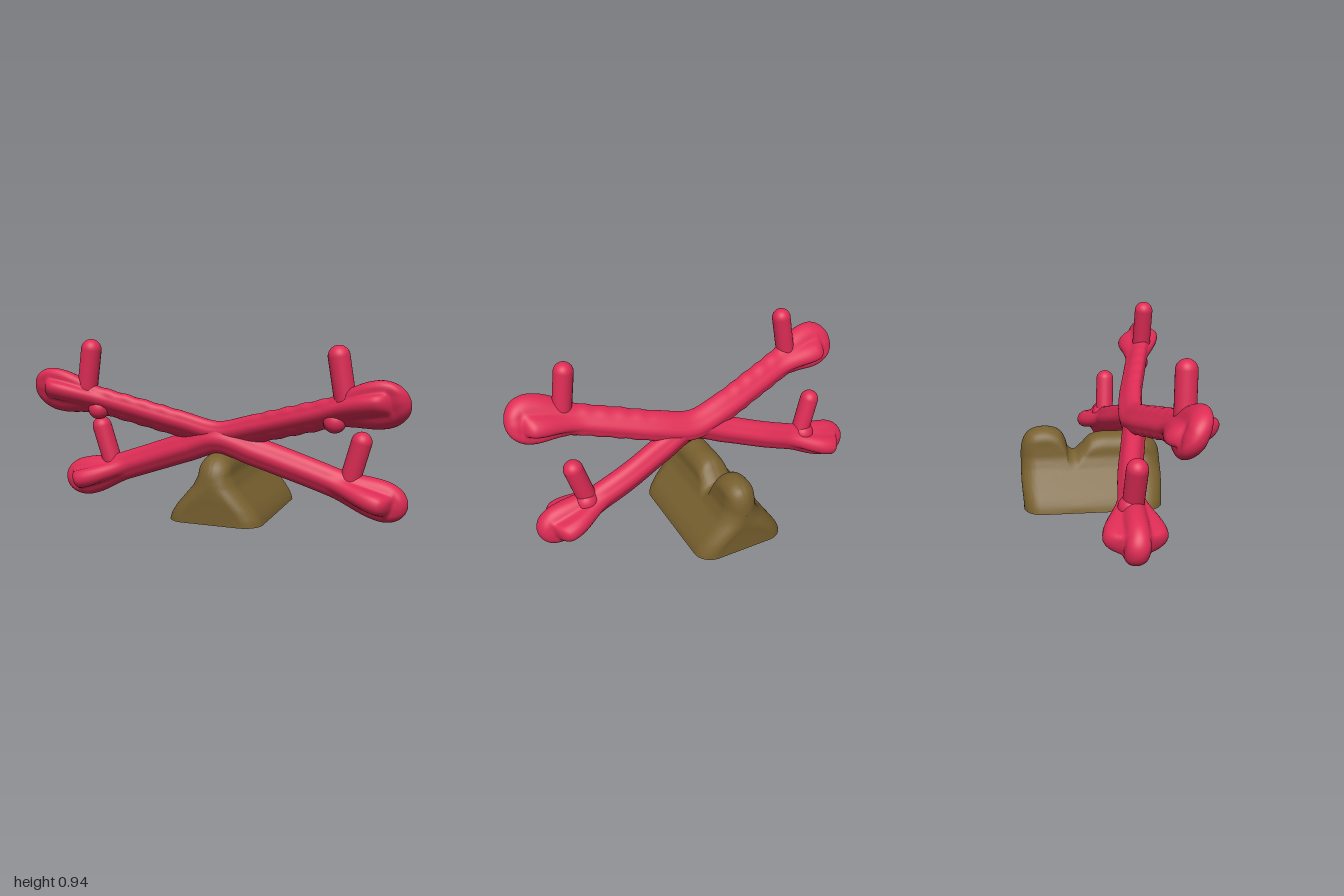
import * as THREE from 'three';
import { toCreasedNormals } from 'three/addons/utils/BufferGeometryUtils.js';

const V = (x, y, z) => new THREE.Vector3(x, y, z);
const smooth = THREE.MathUtils.smoothstep;
const dome = (d) => Math.sqrt(Math.max(0, 1 - d * d));

// Closed skin over a row of rings, capped at both ends, always facing outward.
function loft(rings) {
  const n = rings[0].length;
  const points = rings.flat();
  const index = [];
  rings.slice(1).forEach((_, i) => {
    for (let j = 0; j < n; j++) {
      const a = i * n + j, b = i * n + ((j + 1) % n);
      index.push(a, b, a + n, b, b + n, a + n);
    }
  });
  [0, rings.length - 1].forEach((r) => {
    const centre = rings[r].reduce((s, p) => s.add(p), V(0, 0, 0)).divideScalar(n);
    const c = points.push(centre) - 1;
    for (let j = 0; j < n; j++) {
      const a = r * n + j, b = r * n + ((j + 1) % n);
      if (r === 0) index.push(c, b, a);
      else index.push(c, a, b);
    }
  });
  let volume = 0;
  for (let i = 0; i < index.length; i += 3) {
    const [a, b, c] = [0, 1, 2].map((k) => points[index[i + k]]);
    volume += a.dot(b.clone().cross(c));
  }
  if (volume < 0) index.reverse();
  const geometry = new THREE.BufferGeometry().setFromPoints(points);
  geometry.setIndex(index);
  geometry.computeVertexNormals();
  return geometry;
}

// Distance from the centre to the edge of a capsule, along (cos, sin) = (across, along).
function capsuleReach(across, along, radius, half) {
  const c = Math.abs(across), s = Math.abs(along), L = Math.max(0, half - radius);
  if (s * radius <= L * c) return radius / c;
  return L * s + Math.sqrt(Math.max(0, radius * radius - L * L * c * c));
}

// Beam with a four-lobed section that swells into a knuckle at each end.
function beamGeometry({ path, up, out, height, width, ripple }) {
  const half = path.map((p) => V(...p));
  const mirrored = half.slice(1).reverse().map((p) => V(-p.x, p.y, p.z));
  const curve = new THREE.CatmullRomCurve3([...mirrored, ...half]);
  const rings = [];
  const steps = 80, sides = 56;
  for (let i = -steps; i <= steps; i++) {
    // u runs from 0 at the pivot to 1 at either tip
    const u = 1 - Math.pow(1 - Math.abs(i) / steps, 1.7);
    const at = 0.5 + (Math.sign(i) * u) / 2;
    const p = curve.getPointAt(at), t = curve.getTangentAt(at);
    const top = up.clone().addScaledVector(t, -up.dot(t)).normalize();
    const side = out.clone().addScaledVector(t, -out.dot(t)).normalize();
    const tip = Math.max(0.02, dome(Math.max(0, (u - 0.87) / 0.13)));
    const wave = ripple * Math.sin(u * 65) * smooth(u, 0.15, 0.3) * (1 - smooth(u, 0.6, 0.75));
    const h = (0.078 + wave + (height - 0.078) * smooth(u, 0.62, 0.86)) * tip;
    const a = (0.045 + 0.009 * smooth(u, 0.6, 0.85)) * Math.max(0.02, dome(Math.max(0, (u - 0.94) / 0.06)));
    const lobe = dome(Math.max(0, (u - 0.855) / 0.075));
    const w = Math.max(a, (0.062 + (width - 0.062) * smooth(u, 0.58, 0.85)) * lobe);
    const b = Math.min(h, w, 0.038 + 0.014 * smooth(u, 0.6, 0.85));
    const ring = [];
    for (let j = 0; j < sides; j++) {
      const angle = (j / sides) * Math.PI * 2;
      const c = Math.cos(angle), s = Math.sin(angle);
      const r = Math.pow(capsuleReach(c, s, a, h) ** 6 + capsuleReach(s, c, b, w) ** 6, 1 / 6);
      ring.push(p.clone().addScaledVector(side, c * r).addScaledVector(top, s * r));
    }
    rings.push(ring);
  }
  return loft(rings);
}

// Flared plinth with a front saddle, a dip and a rear knob.
function baseGeometry() {
  const ridge = new THREE.CatmullRomCurve3([
    [0.32, 0.21], [0.31, 0.265], [0.285, 0.31], [0.24, 0.345], [0.17, 0.36], [0.08, 0.36],
    [0, 0.36], [-0.06, 0.345], [-0.11, 0.295], [-0.15, 0.262], [-0.182, 0.28], [-0.196, 0.325],
    [-0.225, 0.375], [-0.275, 0.398], [-0.35, 0.398], [-0.4, 0.375], [-0.43, 0.325], [-0.44, 0.26],
  ].map(([z, y]) => V(0, y, z)));
  const flare = [[0, 0.255], [0.03, 0.247], [0.08, 0.215], [0.13, 0.172], [0.19, 0.12],
    [0.25, 0.09], [0.32, 0.08], [0.42, 0.078]];
  const halfWidth = (y) => {
    const k = Math.max(1, flare.findIndex((f) => f[0] >= y));
    const [y0, w0] = flare[k - 1], [y1, w1] = flare[k];
    return w0 + ((w1 - w0) * (y - y0)) / (y1 - y0);
  };
  const rings = [];
  const rows = 28;
  for (let i = 0; i <= 110; i++) {
    const { y: height, z } = ridge.getPoint(i / 110);
    const round = 1 - dome(Math.max(0, z - 0.22, -0.34 - z) / 0.1);
    const right = [];
    for (let j = 0; j <= rows; j++) {
      const y = height * Math.sin((j / rows) * Math.PI / 2);
      const cap = dome(Math.max(0, (y - height + 0.07) / 0.07));
      // The foot tucks in slightly at both ends.
      const tuck = 1 - 0.025 * (1 - smooth(y, 0, 0.15));
      const w = halfWidth(y);
      right.push(V(Math.max(0.002, (w - Math.min(0.1, w) * round) * cap), y, z * tuck));
    }
    const left = right.map((p) => V(-p.x, p.y, p.z)).reverse();
    rings.push([...right, ...left]);
  }
  return toCreasedNormals(loft(rings), 0.9);
}

export function createModel() {
  const model = new THREE.Group();
  const red = new THREE.MeshStandardMaterial({ color: 0xde2c55 });
  red.name = 'raspberry red';
  const brown = new THREE.MeshStandardMaterial({ color: 0x78602f });
  brown.name = 'olive brown';

  const add = (name, geometry, material, parent = model) => {
    const mesh = new THREE.Mesh(geometry, material);
    mesh.name = name;
    parent.add(mesh);
    return mesh;
  };

  // Upright grip with a rounded top, leaning between two points.
  const addHandle = (name, from, to, radius, parent) => {
    const axis = to.clone().sub(from);
    const handle = add(name, new THREE.CapsuleGeometry(radius, axis.length(), 12, 28), red, parent);
    handle.position.copy(from).addScaledVector(axis, 0.5);
    handle.quaternion.setFromUnitVectors(V(0, 1, 0), axis.normalize());
  };

  add('base', baseGeometry(), brown);

  const seesaws = [
    {
      name: 'upper',
      path: [[0, 0.45, 0.165], [0.2, 0.495, 0.185], [0.45, 0.565, 0.24], [0.75, 0.645, 0.305], [0.993, 0.69, 0.322]],
      up: V(0, 0.95, 0.3), out: V(0, 0.12, 1), height: 0.125, width: 0.12, ripple: 0.0025,
      handle: [[0.688, 0.68, 0.315], [0.655, 0.887, 0.322]],
      swelling: [0.635, 0.572, 0.293, 0.056],
    },
    {
      name: 'lower',
      path: [[0, 0.43, 0.18], [0.2, 0.365, 0.147], [0.45, 0.275, 0.1], [0.75, 0.172, 0.08], [0.963, 0.11, 0.075]],
      up: V(0, 1, 0.08), out: V(0, 0, 1), height: 0.108, width: 0.152, ripple: 0,
      handle: [[0.67, 0.23, 0.085], [0.73, 0.443, 0.095]],
      swelling: [0.685, 0.232, 0.074, 0.064],
    },
  ];

  for (const seesaw of seesaws) {
    const group = new THREE.Group();
    group.name = seesaw.name + 'Seesaw';
    model.add(group);
    add('beam', beamGeometry(seesaw), red, group);
    for (const [sideName, sx] of [['Left', 1], ['Right', -1]]) {
      const at = ([x, y, z]) => V(sx * x, y, z);
      addHandle('handle' + sideName, at(seesaw.handle[0]), at(seesaw.handle[1]), 0.053, group);
      // Swelling in the beam beneath the handle
      const ball = new THREE.SphereGeometry(seesaw.swelling[3], 24, 16);
      add('handleSwelling' + sideName, ball, red, group).position.copy(at(seesaw.swelling));
    }
  }
  return model;
}
